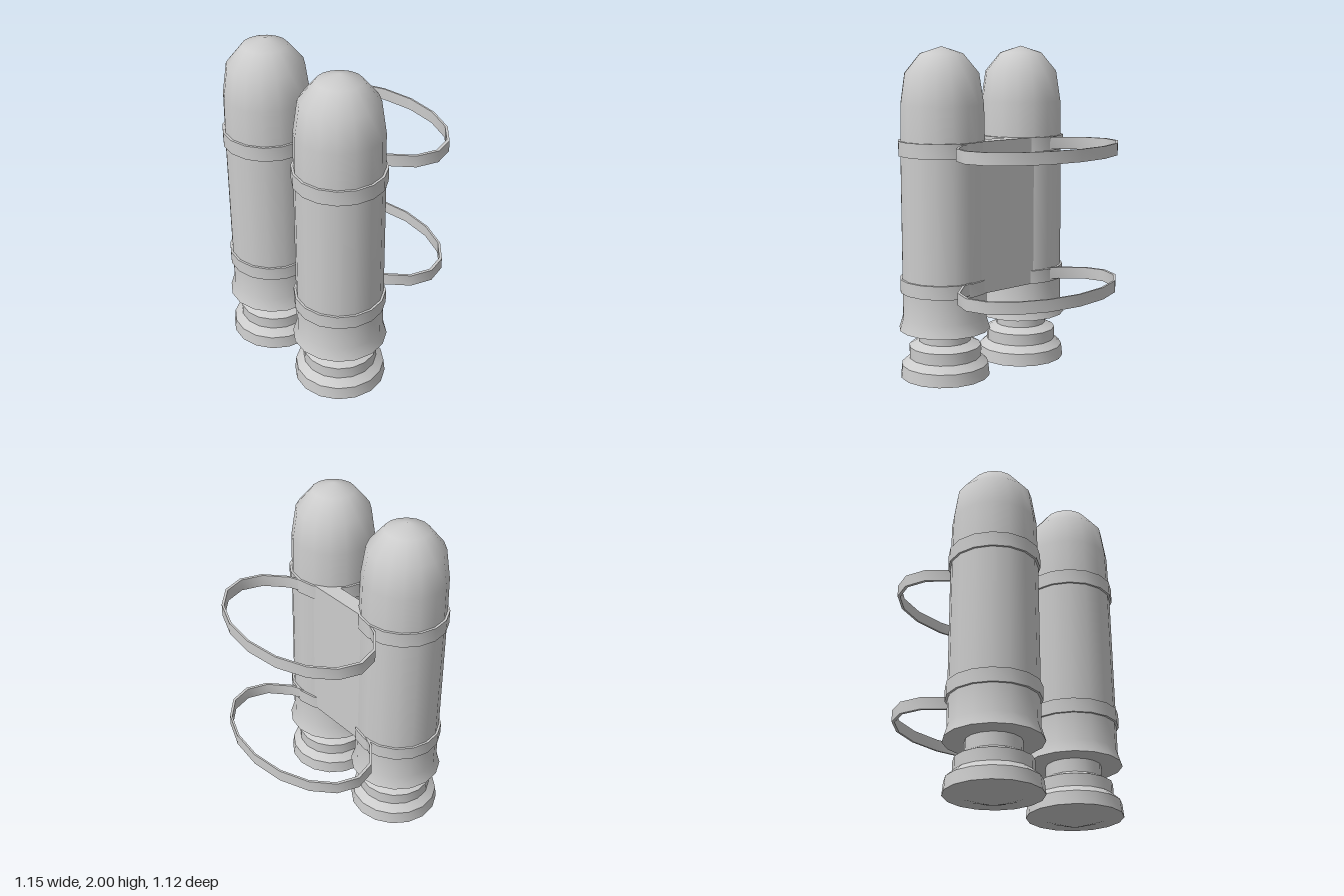
import * as THREE from 'three';
import { toCreasedNormals } from 'three/addons/utils/BufferGeometryUtils.js';

const SIDES = 16;
const TANK_X = 0.3;
const TANK_Z = 0.285;

const material = new THREE.MeshStandardMaterial({ color: 0xcccccc });

// Revolves [radius, y] pairs listed from bottom to top, keeping sharp edges
function lathe(name, profile, scaleZ = 1) {
  const points = profile.map(([r, y]) => new THREE.Vector2(r, y));
  const geometry = new THREE.LatheGeometry(points, SIDES).scale(1, 1, scaleZ);
  const mesh = new THREE.Mesh(toCreasedNormals(geometry, 0.7), material);
  mesh.name = name;
  return mesh;
}

// Closed ring with a rectangular cross-section
function ring(name, inner, outer, bottom, top, scaleZ) {
  return lathe(name, [[inner, bottom], [outer, bottom], [outer, top], [inner, top], [inner, bottom]], scaleZ);
}

function createTank(side) {
  const tank = new THREE.Group();
  tank.name = side > 0 ? 'leftTank' : 'rightTank';

  // Domed cylinder with a flared skirt
  tank.add(lathe('tankBody', [
    [0, 0.345], [0.273, 0.345], [0.25, 0.42], [0.25, 0.58], [0.248, 1.38],
    [0.243, 1.67], [0.216, 1.85], [0.125, 1.96], [0, 2],
  ]));

  // Stepped nozzle with a shallow conical underside
  tank.add(lathe('nozzle', [
    [0, 0], [0.18, 0.055], [0.268, 0.055], [0.26, 0.13], [0.215, 0.17],
    [0.215, 0.24], [0.155, 0.27], [0.155, 0.35],
  ]));

  // Raised bands
  tank.add(ring('lowerBand', 0.24, 0.263, 0.575, 0.655));
  tank.add(ring('upperBand', 0.24, 0.26, 1.38, 1.465));

  tank.position.set(side * TANK_X, 0, TANK_Z);
  return tank;
}

export function createModel() {
  const model = new THREE.Group();
  model.name = 'jetpack';

  for (const side of [-1, 1]) model.add(createTank(side));

  // Plate joining the tanks
  const plate = new THREE.Mesh(new THREE.BoxGeometry(0.5, 0.89, 0.097), material);
  plate.name = 'backPlate';
  plate.position.set(0, 1.02, 0.104);
  model.add(plate);

  // Oval body straps
  for (const [name, y] of [['lowerStrap', 0.59], ['upperStrap', 1.39]]) {
    const strap = ring(name, 0.518, 0.536, y, y + 0.07, 0.625);
    strap.position.z = -0.225;
    model.add(strap);
  }
  return model;
}
